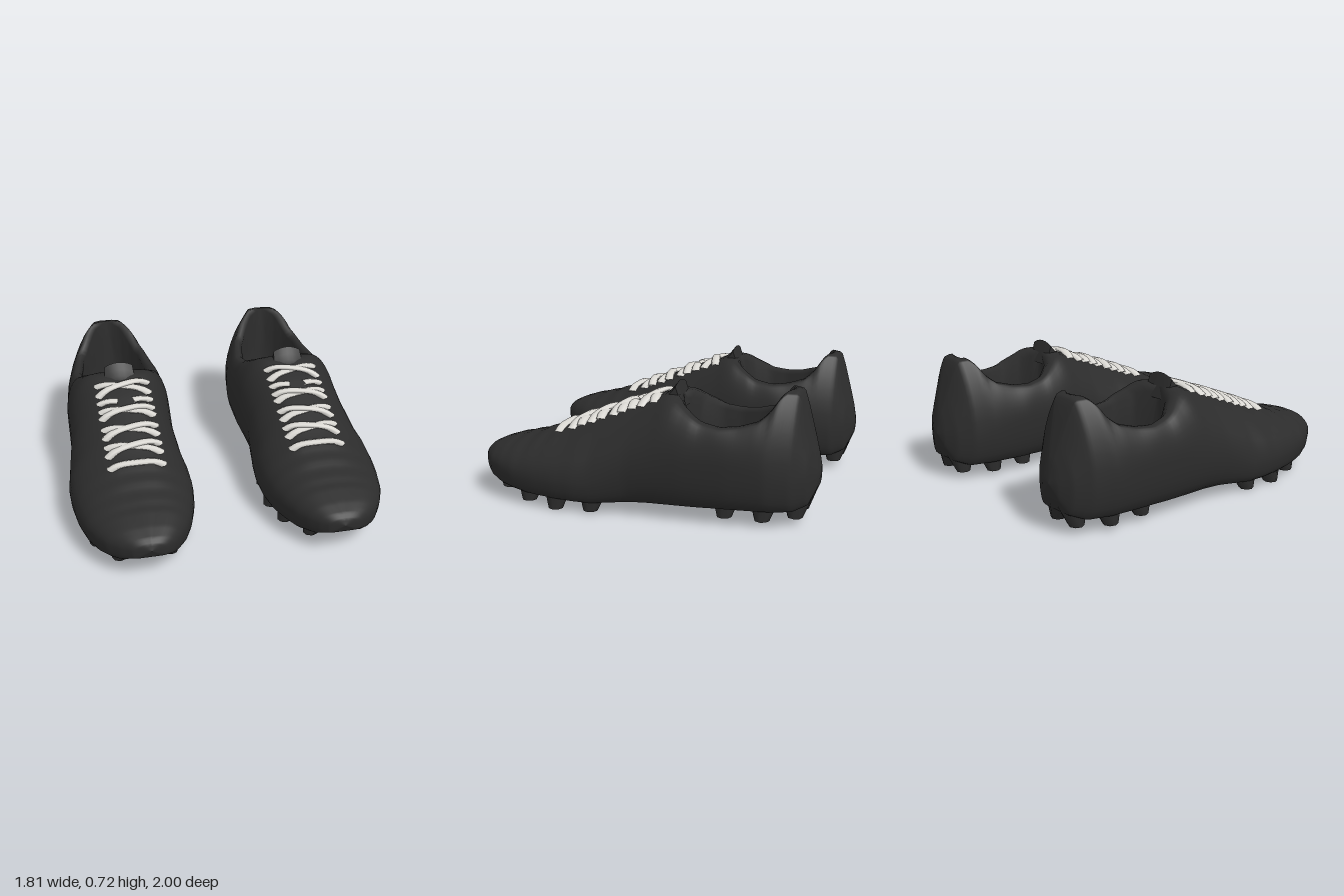
import * as THREE from 'three';
import { mergeVertices } from 'three/addons/utils/BufferGeometryUtils.js';

const CX = 0.53; // centre line of one shoe

// Piecewise curve along z: keys are [z, value]
const curve = (...keys) => (z) => {
  if (z <= keys[0][0]) return keys[0][1];
  for (let i = 1; i < keys.length; i++) {
    const [z0, v0] = keys[i - 1], [z1, v1] = keys[i];
    if (z <= z1) return v0 + (v1 - v0) * (z - z0) / (z1 - z0);
  }
  return keys[keys.length - 1][1];
};

// Outline half widths: outer (away from the other shoe) and inner
const outerW = curve([-1, 0], [-0.99, 0.06], [-0.95, 0.14], [-0.87, 0.21], [-0.75, 0.265], [-0.55, 0.3], [-0.3, 0.325],
  [0, 0.33], [0.15, 0.355], [0.3, 0.375], [0.42, 0.372], [0.55, 0.355], [0.7, 0.32], [0.8, 0.275], [0.88, 0.225],
  [0.94, 0.16], [0.98, 0.095], [1, 0]);
const innerW = curve([-1, 0], [-0.99, 0.06], [-0.95, 0.14], [-0.87, 0.215], [-0.75, 0.265], [-0.55, 0.305], [-0.3, 0.315],
  [0, 0.295], [0.15, 0.31], [0.3, 0.327], [0.45, 0.328], [0.6, 0.305], [0.72, 0.27], [0.82, 0.227], [0.9, 0.175],
  [0.95, 0.13], [0.98, 0.085], [1, 0]);
// Heights: sole, widest level, top
const soleY = curve([-1, 0.28], [-0.985, 0.2], [-0.95, 0.12], [-0.88, 0.09], [-0.5, 0.085], [-0.4, 0.08], [0, 0.07],
  [0.2, 0.06], [0.6, 0.07], [0.8, 0.085], [0.92, 0.115], [0.98, 0.15], [1, 0.2]);
const wideY = curve([-1, 0.28], [-0.9, 0.28], [-0.6, 0.35], [-0.3, 0.35], [0, 0.28], [0.2, 0.19], [0.6, 0.18], [1, 0.2]);
const topBase = curve([-1, 0.28], [-0.98, 0.4], [-0.95, 0.5], [-0.91, 0.63], [-0.88, 0.71], [-0.82, 0.715], [-0.79, 0.68],
  [-0.75, 0.615], [-0.7, 0.57], [-0.6, 0.54], [-0.5, 0.53], [-0.4, 0.545], [-0.3, 0.6], [-0.24, 0.64], [-0.18, 0.65],
  [0, 0.59], [0.2, 0.51], [0.4, 0.43], [0.5, 0.395], [0.6, 0.365], [0.7, 0.335], [0.8, 0.315], [0.9, 0.285],
  [0.96, 0.258], [0.985, 0.235], [1, 0.2]);
// Slight flex creases behind the toe
const topY = (z) => topBase(z) + (z > 0.45 && z < 0.8 ? 0.003 * Math.sin((z - 0.45) * 54) : 0);
// Half width of the flat top or collar, and of the foot opening
const rimW = curve([-1, 0], [-0.96, 0.03], [-0.88, 0.075], [-0.82, 0.1], [-0.78, 0.15], [-0.7, 0.21], [-0.5, 0.25],
  [-0.35, 0.23], [-0.25, 0.17], [-0.15, 0.12], [0, 0.1], [0.5, 0.1], [0.8, 0.06], [1, 0]);
const openW = curve([-0.84, 0], [-0.81, 0.075], [-0.75, 0.13], [-0.65, 0.18], [-0.5, 0.2], [-0.38, 0.18], [-0.28, 0.11], [-0.22, 0]);
// Section shaping: sole width fraction, sole edge roundness, upper roundness
const soleFraction = curve([-0.9, 0.6], [-0.5, 0.62], [-0.1, 0.62], [0.2, 0.8], [0.6, 0.82], [1, 0.7]);
const soleTaper = curve([-0.6, 0.6], [-0.3, 0.7], [0, 0.7], [0.3, 0.5]);
const domeTaper = curve([-1, 1.8], [-0.85, 1.9], [-0.5, 1.3], [-0.2, 1.2], [0.1, 1.5], [0.4, 1.7], [0.7, 1.15], [0.9, 0.9]);

// Half cross-section from the bottom centre round the outside and into the opening
function halfSection(z, W) {
  const b = soleY(z), m = wideY(z), t = topY(z), r = Math.min(rimW(z), W), o = openW(z);
  const lower = soleTaper(z), upper = domeTaper(z), base = soleFraction(z), pts = [[0, b]];
  for (let k = 6; k >= 0; k--) {
    const a = (k / 6) * Math.PI / 2;
    const full = base + (1 - base) * Math.pow(Math.max(Math.cos(a), 0), lower);
    pts.push([W * full, m - (m - b) * Math.sin(a)]);
  }
  for (let k = 1; k <= 8; k++) {
    const a = (k / 8) * Math.PI / 2;
    pts.push([r + (W - r) * Math.pow(Math.max(Math.cos(a), 0), upper), m + (t - m) * Math.sin(a)]);
  }
  const bump = 0.008 * Math.min(1, r / 0.1);
  const open = Math.min(1, o / 0.06), inside = (y) => t + bump + (y - t - bump) * open;
  pts.push([(r + o) / 2, t + bump]);
  pts.push([o, inside(t - 0.02)], [o * 1.06, inside((t + 0.2) / 2)], [o * 0.95, inside(0.2)], [0, inside(0.2)]);
  return pts;
}

// Shoe body lofted from heel to toe, with its sole, collar and lining in one skin
function bodyGeometry() {
  const N = 110, pos = [], idx = [];
  let count = 0;
  for (let i = 0; i <= N; i++) {
    const z = Math.sin(Math.PI * (i / N - 0.5));
    const outer = halfSection(z, outerW(z)), inner = halfSection(z, innerW(z));
    const loop = [...outer, ...inner.slice(1, -1).reverse().map(([x, y]) => [-x, y])];
    count = loop.length;
    for (const [x, y] of loop) pos.push(CX + x, y, z);
  }
  for (let i = 0; i < N; i++) for (let j = 0; j < count; j++) {
    const a = i * count + j, b = i * count + (j + 1) % count;
    idx.push(a, b, a + count, b, b + count, a + count);
  }
  let g = new THREE.BufferGeometry();
  g.setAttribute('position', new THREE.Float32BufferAttribute(pos, 3));
  g.setIndex(idx);
  g = mergeVertices(g, 1e-5);
  g.computeVertexNormals();
  return g;
}

// Wedge-shaped tongue tip rising behind the laces
function tongueGeometry() {
  const g = new THREE.BoxGeometry(0.2, 1, 1, 6, 1, 5), p = g.attributes.position;
  for (let i = 0; i < p.count; i++) {
    const x = p.getX(i), top = p.getY(i) > 0, f = 0.5 - p.getZ(i);
    const z = -0.06 - f * (top ? 0.145 : 0.185);
    p.setXYZ(i, CX + x * (1 - 0.15 * f), top ? 0.62 + 0.1 * f * f - 2.5 * x * x : 0.58, z);
  }
  g.computeVertexNormals();
  return g;
}

// One flat lace strap across the throat from z0 to z1, draped over its edges
function laceGeometry(z0, z1, from = -1, to = 1, lift = 0) {
  const pts = [], flat = 0.45;
  for (let k = 0; k <= 8; k++) {
    const f = k / 8, u = from + (to - from) * f, z = z0 + (z1 - z0) * f;
    const y = topY(z) + 0.016 + lift * (1 - u * u) - 0.03 * Math.pow(Math.abs(u), 4);
    pts.push(new THREE.Vector3(0.525 + 0.15 * u, y / flat, z));
  }
  return new THREE.TubeGeometry(new THREE.CatmullRomCurve3(pts), 16, 0.028, 7, false).scale(1, flat, 1);
}

export function createModel() {
  const black = new THREE.MeshStandardMaterial({ color: 0x2c2c2c });
  black.name = 'black leather';
  const white = new THREE.MeshStandardMaterial({ color: 0xdad8d3, side: THREE.DoubleSide });
  white.name = 'off-white lace';

  const model = new THREE.Group();
  model.name = 'footballBoots';
  const body = bodyGeometry(), tongue = tongueGeometry();

  // Straight front bar, lace crosses and short side straps
  const laces = [laceGeometry(0.475, 0.475)];
  for (const [z, d] of [[-0.07, 0.04], [0.11, 0.025], [0.24, 0.03], [0.36, 0.03]]) {
    laces.push(laceGeometry(z - d, z + d, -1, 1, 0.01), laceGeometry(z + d, z - d));
  }
  laces.push(laceGeometry(0.025, 0.045, -1, -0.3), laceGeometry(0.025, 0.045, 1, 0.3));

  // Studs: z, sideways fraction of the outline, bottom height
  const studs = [];
  const rows = [[0.8, 0.55, 0.04], [0.615, 0.75, 0.015], [0.43, 0.79, 0], [0.22, 0.78, 0.01], [0.7, 0.2, 0.03],
    [0.52, 0.27, 0.02], [0.32, 0.28, 0.015], [-0.515, 0.56, 0.03], [-0.72, 0.58, 0.03], [-0.88, 0.36, 0.04]];
  for (const [z, u, y] of rows) for (const s of [-1, 1]) {
    const h = soleY(z) + 0.06 - y;
    const g = new THREE.CylinderGeometry(0.085, 0.042, h, 8);
    const x = s * u * (s > 0 ? outerW(z) : innerW(z));
    // Flared root leans in under the shoe so that it stays inside the outline
    const p = g.attributes.position;
    for (let i = 0; i < p.count; i++) if (p.getY(i) > 0) p.setX(i, p.getX(i) - s * 0.04);
    g.computeVertexNormals();
    g.translate(CX + x, y + h / 2, z);
    studs.push(g);
  }

  for (const side of [1, -1]) {
    const shoe = new THREE.Group();
    shoe.name = side > 0 ? 'leftShoe' : 'rightShoe';
    const add = (geometry, material, name) => {
      const mesh = new THREE.Mesh(geometry, material);
      mesh.name = name;
      shoe.add(mesh);
    };
    add(body, black, 'shoeBody');
    add(tongue, black, 'tongue');
    laces.forEach((g) => add(g, white, 'lace'));
    studs.forEach((g) => add(g, black, 'stud'));
    shoe.scale.x = side;
    model.add(shoe);
  }
  return model;
}
